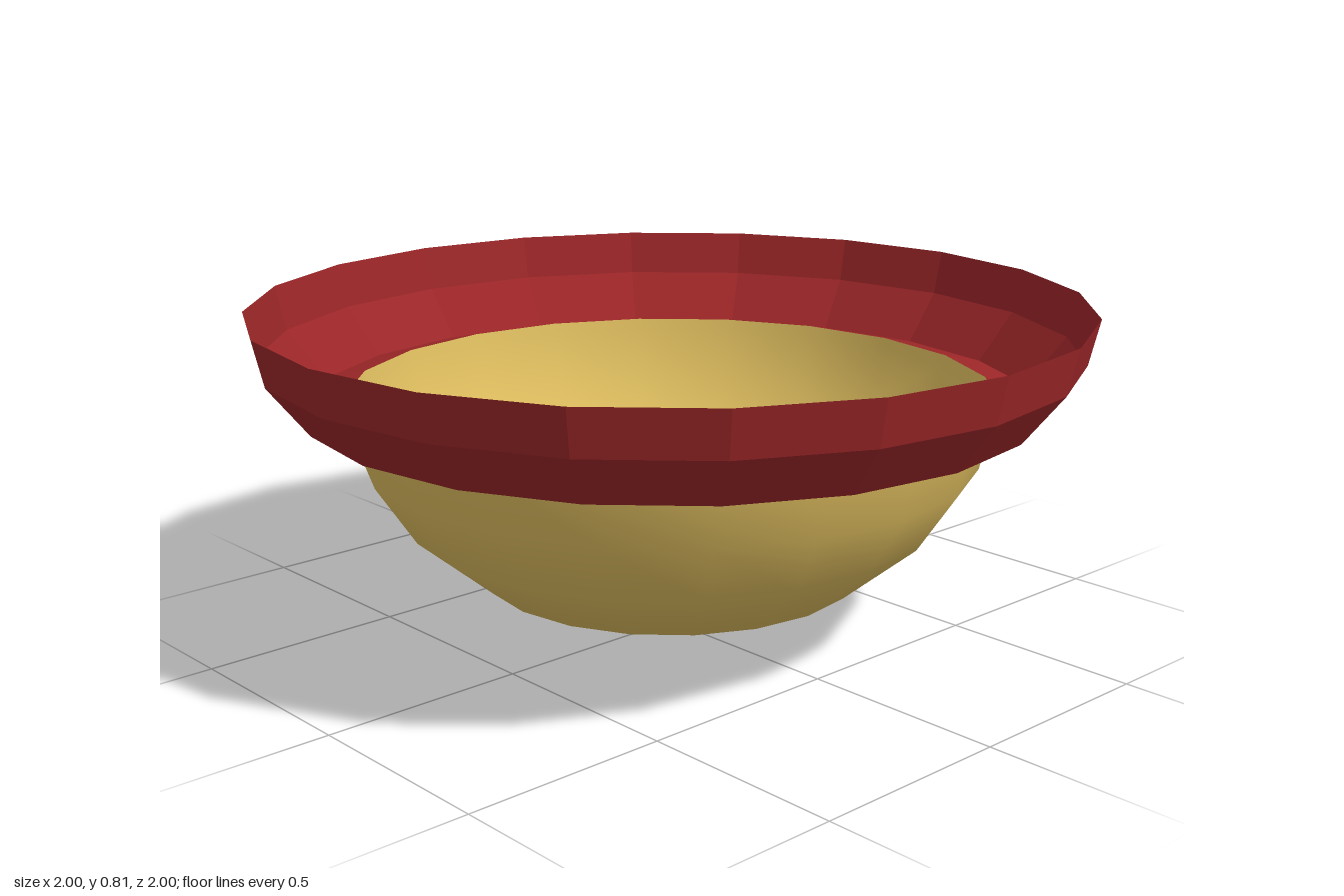
import * as THREE from 'three';

const material = (name, color, flatShading = false) => {
  const m = new THREE.MeshStandardMaterial({ color, flatShading, side: THREE.DoubleSide });
  m.name = name;
  return m;
};

// Thin turned shell from [radius, height] pairs listed bottom/inside to top/outside
const turned = (name, profile, sides, mat) => {
  const points = profile.map(([r, y]) => new THREE.Vector2(r, y));
  const mesh = new THREE.Mesh(new THREE.LatheGeometry(points, sides), mat);
  mesh.name = name;
  return mesh;
};

export function createModel() {
  const group = new THREE.Group();
  group.name = 'ceilingLamp';

  const red = material('rimRed', 0x9c2628, true);
  const amber = material('amberGlass', 0xe0bf60);
  const grey = material('metalGrey', 0x7c7c7e, true);

  // Flared rim with a slightly raised inner flange
  group.add(turned('rim', [[0.775, 0.605], [0.88, 0.58], [0.975, 0.70], [1, 0.81]], 20, red));

  // Open glass bowl
  group.add(turned('glassBowl', [
    [0.118, 0.085], [0.465, 0.145], [0.645, 0.295], [0.74, 0.44], [0.77, 0.58], [0.775, 0.605],
  ], 20, amber));

  // Shallow metal cup closing the bottom of the bowl
  group.add(turned('finialCup', [[0.038, 0.048], [0.118, 0.085]], 20, grey));

  // Small tapered knob
  group.add(turned('finialKnob', [[0, 0], [0.024, 0], [0.04, 0.048]], 8, grey));

  return group;
}
